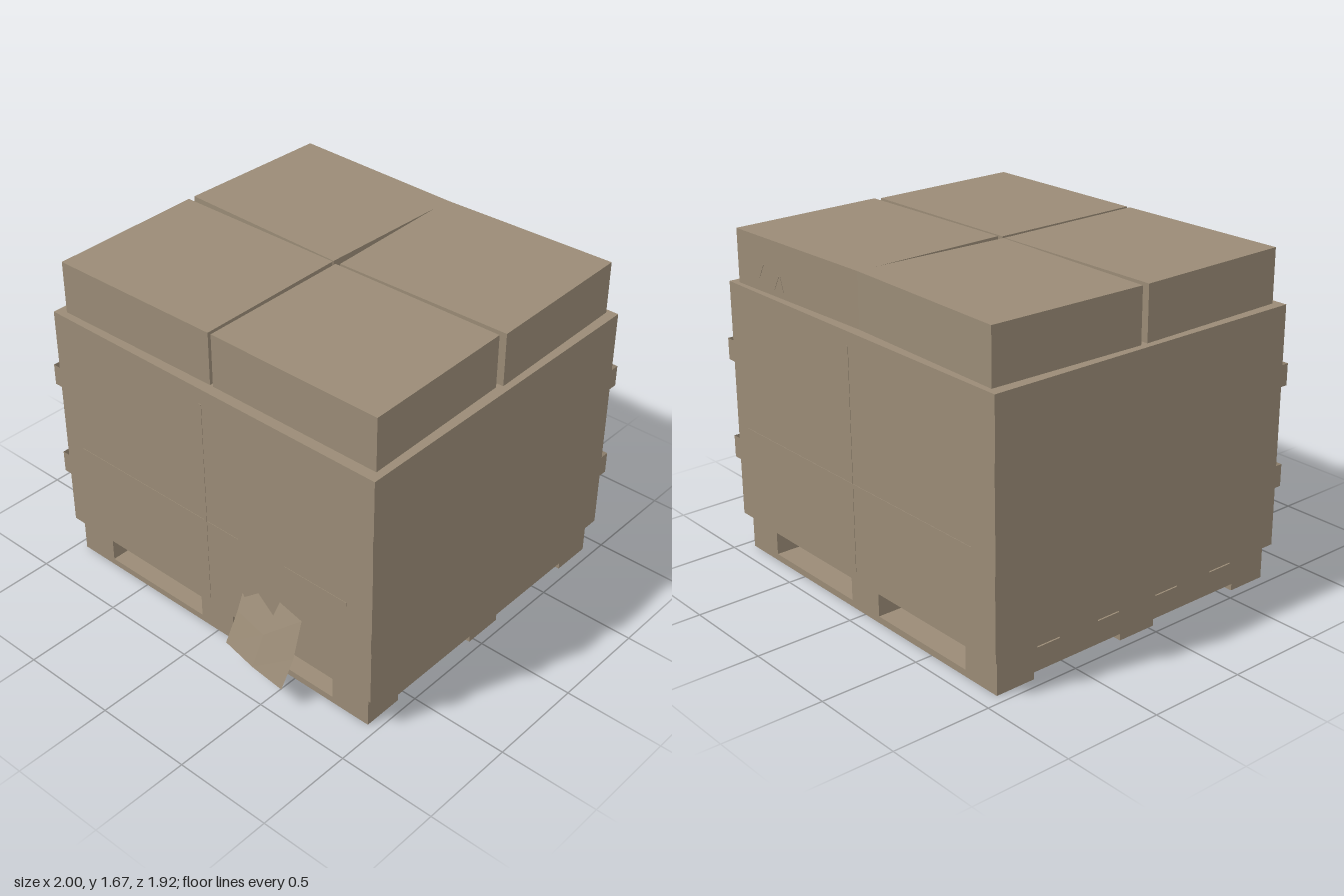
import * as THREE from 'three';

const cardboard = new THREE.MeshStandardMaterial({ color: 0x9a8b76, flatShading: true, side: THREE.DoubleSide });
cardboard.name = 'cardboard';

export function createModel() {
  const model = new THREE.Group();
  model.name = 'loadedPallet';

  const add = (name, geometry, parent = model) => {
    const mesh = new THREE.Mesh(geometry, cardboard);
    mesh.name = name;
    parent.add(mesh);
    return mesh;
  };
  // Box given by its extents on each axis
  const block = (name, [x0, x1], [y0, y1], [z0, z1], parent) => {
    const g = new THREE.BoxGeometry(x1 - x0, y1 - y0, z1 - z0);
    g.translate((x0 + x1) / 2, (y0 + y1) / 2, (z0 + z1) / 2);
    return add(name, g, parent);
  };
  const outline = (pts) => new THREE.Shape(pts.map(([x, y]) => new THREE.Vector2(x, y)));
  // Upright prism over a footprint of [x, z] corners
  const prism = (name, pts, y0, y1) => {
    const g = new THREE.ExtrudeGeometry(outline(pts.map(([x, z]) => [x, -z])), { depth: y1 - y0, bevelEnabled: false });
    g.rotateX(-Math.PI / 2).translate(0, y0, 0);
    return add(name, g);
  };

  // Pallet: three runners, three bottom boards, five deck boards
  const pallet = new THREE.Group();
  pallet.name = 'pallet';
  model.add(pallet);
  for (const x of [[-0.95, -0.74], [-0.108, 0.102], [0.735, 0.948]])
    block('palletRunner', x, [0.034, 0.15], [-0.91, 0.77], pallet);
  for (const z of [[0.56, 0.77], [-0.18, 0.03], [-0.91, -0.70]])
    block('bottomBoard', [-0.95, 0.948], [0, 0.034], z, pallet);
  for (const z of [[0.54, 0.77], [0.18, 0.40], [-0.19, 0.04], [-0.55, -0.32], [-0.91, -0.68]])
    block('deckBoard', [-0.95, 0.948], [0.15, 0.182], z, pallet);

  // Large carton holding the load
  prism('carton', [[-0.985, -0.945], [0.98, -0.94], [0.985, 0.8], [-0.985, 0.795]], 0.183, 1.4);

  // Four slightly skewed boxes showing above the carton
  const boxes = [
    [[-0.93, -0.915], [0, -0.89], [0, -0.79], [-0.02, -0.077], [-0.95, -0.1]],
    [[0, -0.89], [0.93, -0.915], [0.948, -0.1], [0.02, -0.077], [0, -0.79]],
    [[-0.95, -0.063], [-0.02, -0.07], [-0.006, 0.745], [-0.935, 0.758]],
    [[0.004, -0.063], [0.93, -0.072], [0.946, 0.745], [0.012, 0.745]],
  ];
  for (const pts of boxes) prism('topBox', pts, 1.4, 1.667);

  // Wide bands around the carton
  for (const [y0, y1] of [[0.49, 0.603], [1.003, 1.112]]) {
    const g = new THREE.CylinderGeometry(Math.SQRT1_2, Math.SQRT1_2, y1 - y0, 4, 1, true, Math.PI / 4);
    g.scale(1.995, 1, 1.775).translate(0, (y0 + y1) / 2, -0.07);
    add('wideBand', g);
  }

  // Crossed narrow straps, front and back
  for (const [side, z] of [['front', 0.818], ['back', -0.959]]) {
    block(side + 'UprightStrap', [-0.008, 0.008], [0.24, 1.34], [z - 0.001, z + 0.001]);
    block(side + 'LevelStrap', [-0.855, 0.85], [0.672, 0.69], [z - 0.009, z - 0.007]);
  }

  // Torn tape scrap and torn note on the front
  const sheet = (name, pts, z) => add(name, new THREE.ShapeGeometry(outline(pts)).translate(0, 0, z));
  sheet('tornScrap', [[-0.56, 1.09], [-0.55, 1.12], [-0.53, 1.14], [-0.515, 1.12], [-0.49, 1.125], [-0.48, 1.06],
    [-0.48, 1], [-0.5, 0.925], [-0.6, 0.95], [-0.585, 1], [-0.62, 0.985], [-0.63, 1.003]], 0.81);
  sheet('tornNote', [[0.3, 0.9], [0.52, 0.9], [0.5, 0.745], [0.56, 0.685], [0.44, 0.4], [0.35, 0.48],
    [0.26, 0.405], [0.17, 0.57]], 0.843);

  // Curled sheet hanging below the note: a bent grid of left, middle and right edges
  const rows = [
    [[0.21, 0.472, 0.765], [0.4, 0.47, 0.805], [0.612, 0.465, 0.84]],
    [[0.208, 0.29, 0.84], [0.41, 0.29, 0.88], [0.615, 0.28, 0.9]],
    [[0.18, 0.115, 0.895], [0.39, 0.12, 0.937], [0.592, 0.122, 0.957]],
  ];
  const curl = new THREE.PlaneGeometry(1, 1, 2, 2);
  rows.flat().forEach((p, i) => curl.attributes.position.setXYZ(i, ...p));
  curl.computeVertexNormals();
  add('curledSheet', curl);

  // Small scuffs on the back of a top box
  for (const [x, y, tilt] of [[0.74, 1.5, 0.5], [0.62, 1.47, 0.5], [0.58, 1.47, -0.3]]) {
    const scuff = add('scuff', new THREE.BoxGeometry(0.008, 0.08, 0.004));
    scuff.position.set(x, y, -0.89 - 0.027 * x);
    scuff.rotation.z = tilt;
  }

  return model;
}
